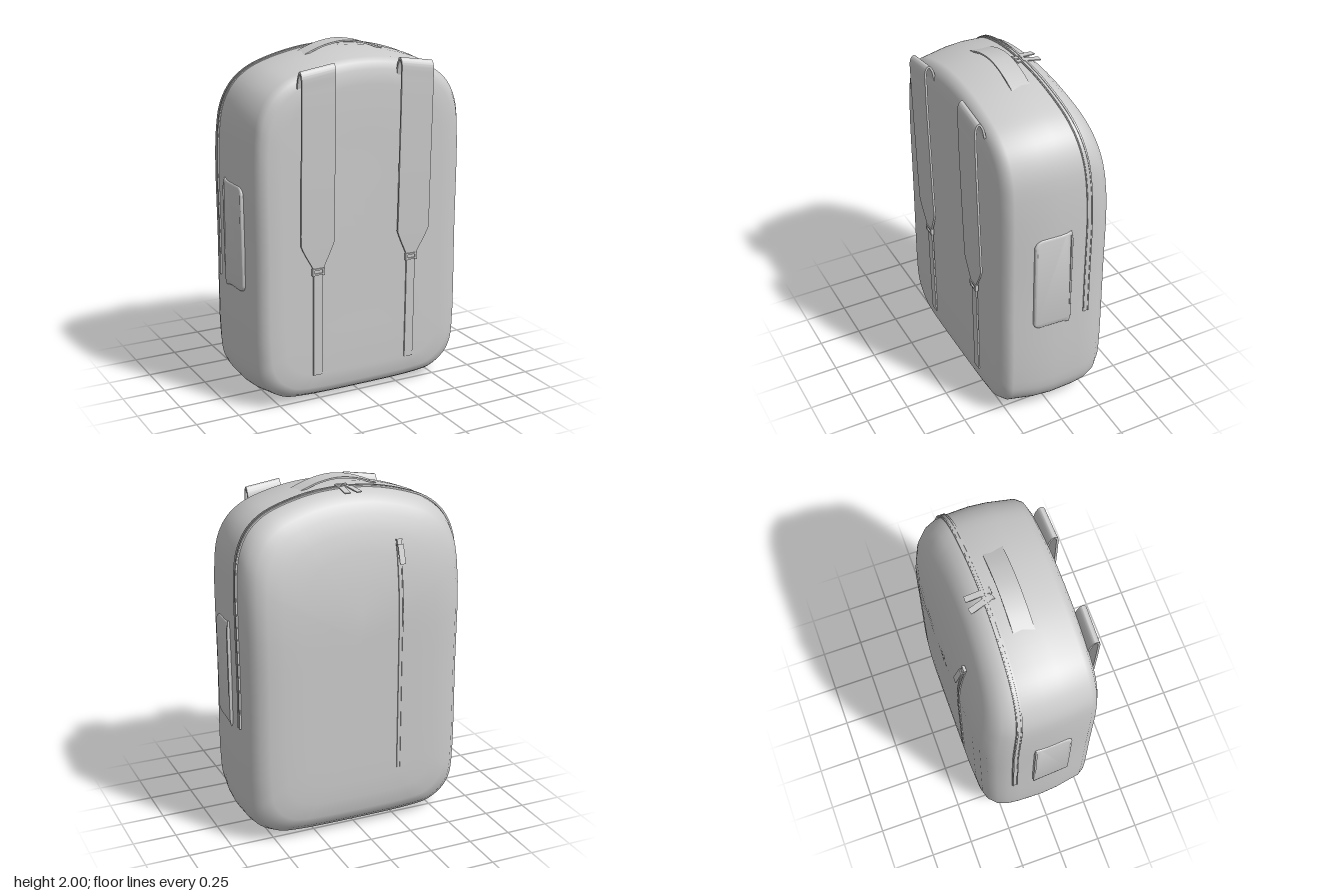
import * as THREE from 'three';
import { toCreasedNormals } from 'three/addons/utils/BufferGeometryUtils.js';

const V = (x, y, z) => new THREE.Vector3(x, y, z);
const material = new THREE.MeshStandardMaterial({ color: 0xcccccc, side: THREE.DoubleSide });

// Half outline of the bag, bottom to top
const HALF = [[0.4, 0.008], [0.5, 0.025], [0.59, 0.08], [0.64, 0.155], [0.658, 0.26], [0.66, 0.9],
  [0.658, 1.53], [0.635, 1.68], [0.58, 1.785], [0.5, 1.855], [0.4, 1.9], [0.2, 1.95]];
const OUTLINE = new THREE.CatmullRomCurve3([
  V(0, 0, 0), ...HALF.map(([x, y]) => V(x, y, 0)),
  V(0, 1.965, 0), ...HALF.map(([x, y]) => V(-x, y, 0)).reverse(),
], true);
const MID = 0.98;

// The rear half leans forward towards the top
const lean = (y) => 1 - 0.36 * Math.max(0, (y - 1.2) / 0.75) ** 2;

// Point of the outline, moved inwards by inset, at depth z
function shellPoint(p, z, inset) {
  const y = MID + (p.y - MID) * (1 - inset / MID);
  return V(p.x * (1 - inset / 0.66), y, z < 0 ? z * lean(y) : z);
}

function makeBody() {
  const rings = [[0.31, 0.66], [0.31, 0.4], [0.311, 0.17], [0.303, 0.09], [0.285, 0.052], [0.25, 0.03],
    [0.1, 0.007], [0, 0], [-0.15, 0.003], [-0.22, 0.01], [-0.28, 0.03], [-0.325, 0.068], [-0.347, 0.12],
    [-0.358, 0.21], [-0.36, 0.32], [-0.36, 0.48], [-0.36, 0.66]];
  const n = 104, outline = OUTLINE.getPoints(n).slice(0, n);
  const pos = [], index = [];
  rings.forEach(([z, inset], i) => outline.forEach((p, j) => {
    pos.push(...shellPoint(p, z, inset).toArray());
    if (i === 0) return;
    const a = (i - 1) * n + j, b = (i - 1) * n + (j + 1) % n, c = i * n + j, d = i * n + (j + 1) % n;
    index.push(a, c, b, b, c, d);
  }));
  const g = new THREE.BufferGeometry();
  g.setAttribute('position', new THREE.Float32BufferAttribute(pos, 3));
  g.setIndex(index);
  g.computeVertexNormals();
  return g;
}

// Flat band along a curve through points [x, y, z, width]; widthDir gives its broad direction
function ribbon(points, widthDir, thickness, steps) {
  const curve = new THREE.CatmullRomCurve3(points.map((p) => V(p[0], p[1], p[2])));
  const W = widthDir.clone().normalize(), pos = [], index = [];
  for (let i = 0; i <= steps; i++) {
    const t = i / steps, k = t * (points.length - 1), k0 = Math.min(Math.floor(k), points.length - 2);
    const w = THREE.MathUtils.lerp(points[k0][3], points[k0 + 1][3], k - k0) / 2;
    const p = curve.getPoint(t), N = curve.getTangent(t).cross(W).normalize();
    for (const [a, b] of [[1, 1], [-1, 1], [-1, -1], [1, -1]]) {
      pos.push(...p.clone().addScaledVector(W, a * w).addScaledVector(N, b * thickness / 2).toArray());
    }
    if (i === 0) continue;
    for (let j = 0; j < 4; j++) {
      const a = (i - 1) * 4 + j, b = (i - 1) * 4 + (j + 1) % 4;
      index.push(a, b, a + 4, b, b + 4, a + 4);
    }
  }
  const e = steps * 4;
  index.push(0, 2, 1, 0, 3, 2, e, e + 1, e + 2, e, e + 2, e + 3);
  const g = new THREE.BufferGeometry();
  g.setAttribute('position', new THREE.Float32BufferAttribute(pos, 3));
  g.setIndex(index);
  return toCreasedNormals(g, 0.7);
}

export function createModel() {
  const model = new THREE.Group();
  const add = (name, geometry, parent = model) => {
    const m = new THREE.Mesh(geometry, material);
    m.name = name;
    parent.add(m);
    return m;
  };
  const box = (name, size, at, parent) => {
    const m = add(name, new THREE.BoxGeometry(...size), parent);
    m.position.set(...at);
    return m;
  };
  const group = (name) => {
    const g = new THREE.Group();
    g.name = name;
    model.add(g);
    return g;
  };

  add('body', makeBody());

  // Carry handle arching over the top
  add('carryHandle', ribbon([[-0.255, 1.925, 0.01, 0.125], [-0.23, 1.938, 0.01, 0.112], [-0.12, 1.978, 0.01, 0.112],
    [0, 1.995, 0.01, 0.112], [0.12, 1.978, 0.01, 0.112], [0.23, 1.938, 0.01, 0.112], [0.255, 1.925, 0.01, 0.125]],
  V(0, 0, 1), 0.009, 36));

  for (const s of [1, -1]) {
    const side = s > 0 ? 'left' : 'right';
    const strap = group(side + 'ShoulderStrap');
    const x = 0.3 * s, xw = 0.293 * s;

    // Padded strap, folded over at the top and tapering to the buckle
    const pad = ribbon([[x, 1.82, 0.3, 0.2], [x, 1.885, 0.315, 0.2], [x, 1.91, 0.334, 0.2], [x, 1.89, 0.35, 0.2],
      [x, 1.8, 0.353, 0.2], [x, 1.35, 0.343, 0.2], [x, 0.95, 0.331, 0.2], [xw, 0.81, 0.325, 0.065]],
    V(1, 0, 0), 0.012, 84);
    // The fold slopes down towards the shoulder
    const p = pad.attributes.position;
    for (let i = 0; i < p.count; i++) {
      const k = THREE.MathUtils.smoothstep(p.getY(i), 1.6, 1.85);
      p.setY(i, p.getY(i) - (Math.abs(p.getX(i)) - 0.3) * 0.15 * k);
    }
    add('strapPad', pad, strap);

    // Webbing and buckle
    add('strapWebbing', ribbon([[xw, 0.8, 0.323, 0.054], [xw, 0.5, 0.319, 0.054], [xw, 0.175, 0.313, 0.054]],
      V(1, 0, 0), 0.009, 6), strap);
    for (const dy of [-0.014, 0.014]) box('buckleBar', [0.056, 0.009, 0.018], [xw, 0.79 + dy, 0.326], strap);
    for (const dx of [-0.03, 0.03]) box('buckleSide', [0.012, 0.042, 0.018], [xw + dx, 0.788, 0.326], strap);

    // Side pocket: shallow padded panel with flared corners
    const shape = new THREE.Shape();
    shape.moveTo(-0.137, 0.70);
    shape.quadraticCurveTo(-0.13, 0.675, -0.10, 0.672);
    shape.lineTo(0.01, 0.674);
    shape.quadraticCurveTo(0.05, 0.672, 0.066, 0.66);
    shape.lineTo(0.07, 0.70);
    shape.lineTo(0.07, 1.22);
    shape.lineTo(0.066, 1.268);
    shape.quadraticCurveTo(0.05, 1.258, 0.01, 1.258);
    shape.lineTo(-0.10, 1.256);
    shape.quadraticCurveTo(-0.13, 1.25, -0.137, 1.22);
    const g = new THREE.ExtrudeGeometry(shape, { depth: 0.04, bevelThickness: 0.012, bevelSize: 0.012,
      bevelOffset: -0.006, bevelSegments: 3, curveSegments: 5 });
    // Turn outwards, lean the panel to the rear and slim its two ends
    const q = g.attributes.position;
    for (let i = 0; i < q.count; i++) {
      const rear = q.getX(i), y = q.getY(i), d = q.getZ(i);
      const end = Math.max(0, (Math.abs(y - 0.965) - 0.25) / 0.05);
      const out = d > 0.02 ? 0.672 + (d - 0.04) * 0.4 + rear * 0.06 - 0.009 * Math.min(1, end) : 0.63;
      q.setXYZ(i, out, y, -rear);
    }
    // Map (rear, y, depth) to (depth, y, -rear) is a rotation, so only the right side is mirrored
    const pocket = add(side + 'SidePocket', toCreasedNormals(g, 0.6));
    pocket.scale.x = s;
  }

  // Main zip following the outline from side to side
  const mainZip = group('mainZip');
  const arc = OUTLINE.getPoints(160).filter((p) => p.y > 0.66);
  const tape = (z, lift, width) => arc.map((p) => [...shellPoint(p, z, 0.004 - lift).toArray(), width]);
  const Z = V(0, 0, 1);
  add('zipTape', ribbon(tape(-0.182, 0.001, 0.034), Z, 0.008, 200), mainZip);
  for (const z of [-0.17, -0.194]) add('zipPiping', ribbon(tape(z, 0.004, 0.007), Z, 0.008, 200), mainZip);

  // Pair of sliders and pulls at the top
  for (const [x, turn] of [[0.022, 0], [-0.018, 0.26]]) {
    const pull = group('mainZipPull');
    pull.position.set(x, 1.963, -0.1);
    pull.rotation.set(-0.17, turn, 0, 'YXZ');
    box('slider', [0.028, 0.012, 0.04], [0, -0.004, 0.005], pull);
    for (const z of [0.022, -0.008]) box('sliderLip', [0.036, 0.012, 0.008], [0, -0.002, z], pull);
    box('pullTab', [0.034, 0.006, 0.105], [0, 0.005, -0.063], pull);
  }

  // Vertical zip on the rear panel
  const rearZip = group('rearZip');
  const rearX = -0.235;
  const line = (dx, lift, w) => Array.from({ length: 13 }, (_, i) => {
    const y = 0.35 + i * 0.11;
    return [rearX + dx, y, -0.36 * lean(y) - lift, w];
  });
  add('rearZipTape', ribbon(line(0, 0, 0.026), V(1, 0, 0), 0.006, 48), rearZip);
  for (const dx of [-0.01, 0.01]) add('rearZipPiping', ribbon(line(dx, 0.003, 0.006), V(1, 0, 0), 0.007, 48), rearZip);

  const rearPull = group('rearZipPull');
  rearPull.position.set(rearX, 1.675, -0.318);
  rearPull.rotation.x = -0.3;
  rearPull.rotation.x = 0.32;
  box('slider', [0.026, 0.04, 0.014], [0, 0, 0], rearPull);
  for (const y of [-0.014, 0.016]) box('sliderLip', [0.036, 0.008, 0.014], [0, y, -0.002], rearPull);
  box('pullTab', [0.034, 0.11, 0.006], [0, -0.065, -0.014], rearPull);

  return model;
}
